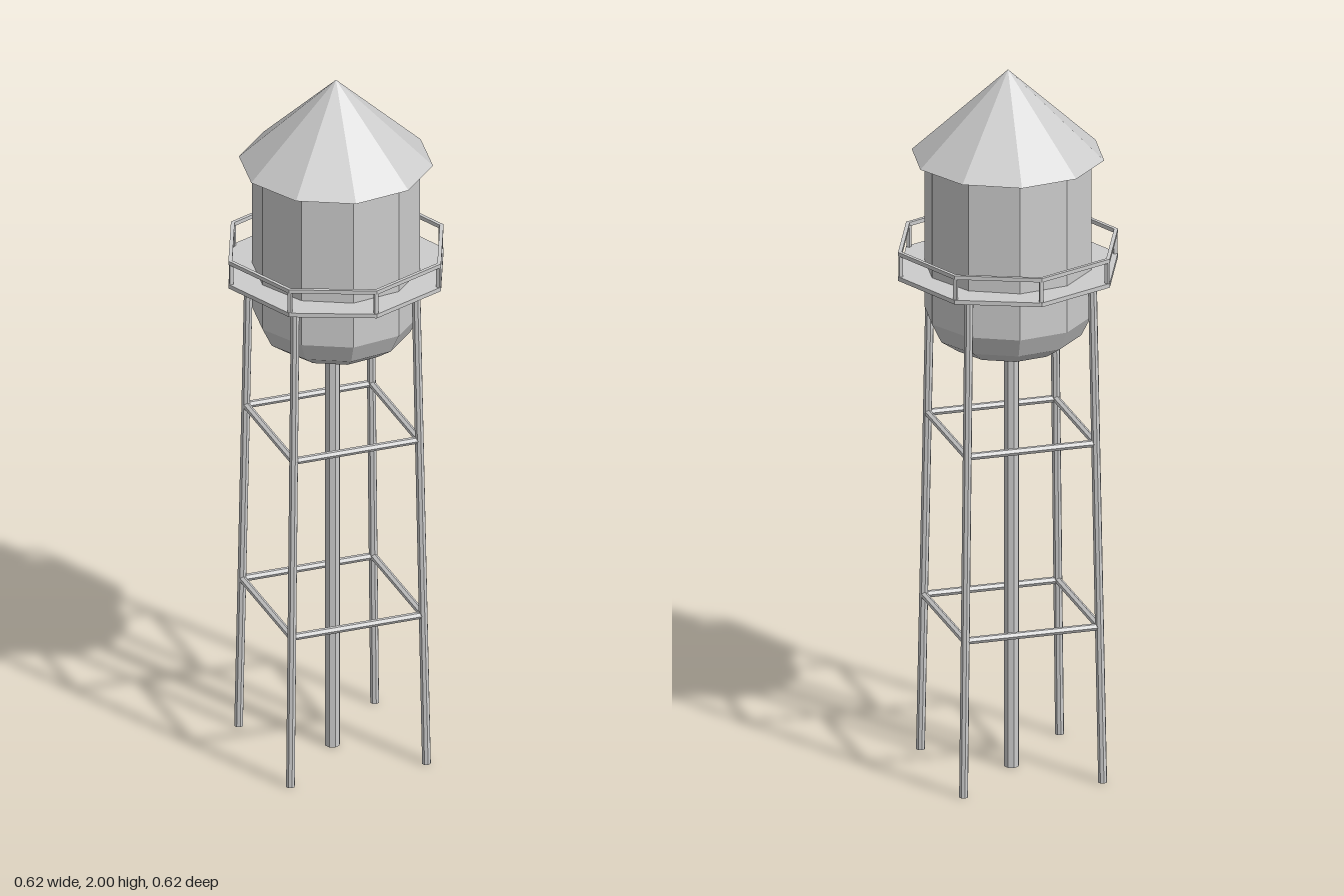
import * as THREE from 'three';

const material = new THREE.MeshStandardMaterial({ color: 0xcccccc, flatShading: true });
const TOWER_X = -0.01; // the stand sits slightly off the tank axis
const FACET = THREE.MathUtils.degToRad(27); // turn of the ten-sided tank and roof

export function createModel() {
  const model = new THREE.Group();
  model.name = 'waterTower';

  const add = (name, geometry, x = 0, y = 0, z = 0) => {
    const mesh = new THREE.Mesh(geometry, material);
    mesh.name = name;
    mesh.position.set(x, y, z);
    model.add(mesh);
    return mesh;
  };

  // Straight member from a to b
  const strut = (name, a, b, radius, sides) => {
    const dir = b.clone().sub(a);
    const mesh = add(name, new THREE.CylinderGeometry(radius, radius, dir.length(), sides));
    mesh.position.copy(a).lerp(b, 0.5);
    mesh.quaternion.setFromUnitVectors(new THREE.Vector3(0, 1, 0), dir.normalize());
    return mesh;
  };

  // Conical roof
  add('roof', new THREE.ConeGeometry(0.263, 0.245, 10), 0, 1.8775, 0).rotation.y = FACET;

  // Tank with rounded bottom
  const profile = [[0, 1.197], [0.08, 1.197], [0.15, 1.215], [0.2, 1.249], [0.228, 1.305], [0.228, 1.757]]
    .map(([r, y]) => new THREE.Vector2(r, y));
  add('tank', new THREE.LatheGeometry(profile, 10)).rotation.y = FACET;

  // Octagonal walkway
  add('walkway', new THREE.CylinderGeometry(0.31, 0.31, 0.012, 8), 0, 1.433, 0);

  // Handrail ring
  const octagon = (r) => Array.from({ length: 8 }, (_, i) =>
    new THREE.Vector2(r * Math.cos(i * Math.PI / 4), r * Math.sin(i * Math.PI / 4)));
  const ring = new THREE.Shape(octagon(0.31));
  ring.holes.push(new THREE.Path(octagon(0.299)));
  const railGeometry = new THREE.ExtrudeGeometry(ring, { depth: 0.011, bevelEnabled: false });
  railGeometry.rotateX(-Math.PI / 2);
  add('handrail', railGeometry, 0, 1.498, 0);

  // Handrail posts at the corners
  for (let i = 0; i < 8; i++) {
    const a = i * Math.PI / 4;
    const post = add('railPost', new THREE.BoxGeometry(0.01, 0.066, 0.01),
      0.302 * Math.sin(a), 1.467, 0.302 * Math.cos(a));
    post.rotation.y = a;
  }

  // Central riser pipe
  add('riserPipe', new THREE.CylinderGeometry(0.021, 0.021, 1.21, 8), TOWER_X, 0.605, 0);

  // Four legs leaning inward, with two levels of braces between neighbours
  const legPoint = (corner, y) => {
    const half = THREE.MathUtils.lerp(0.196, 0.174, y / 1.43);
    const [sx, sz] = [[1, 1], [1, -1], [-1, -1], [-1, 1]][corner % 4];
    return new THREE.Vector3(TOWER_X + sx * half, y, sz * half);
  };
  for (let i = 0; i < 4; i++) {
    strut('leg', legPoint(i, 0), legPoint(i, 1.43), 0.0125, 8);
    for (const y of [0.445, 0.97]) {
      strut('brace', legPoint(i, y), legPoint(i + 1, y), 0.01, 6);
    }
  }

  return model;
}
